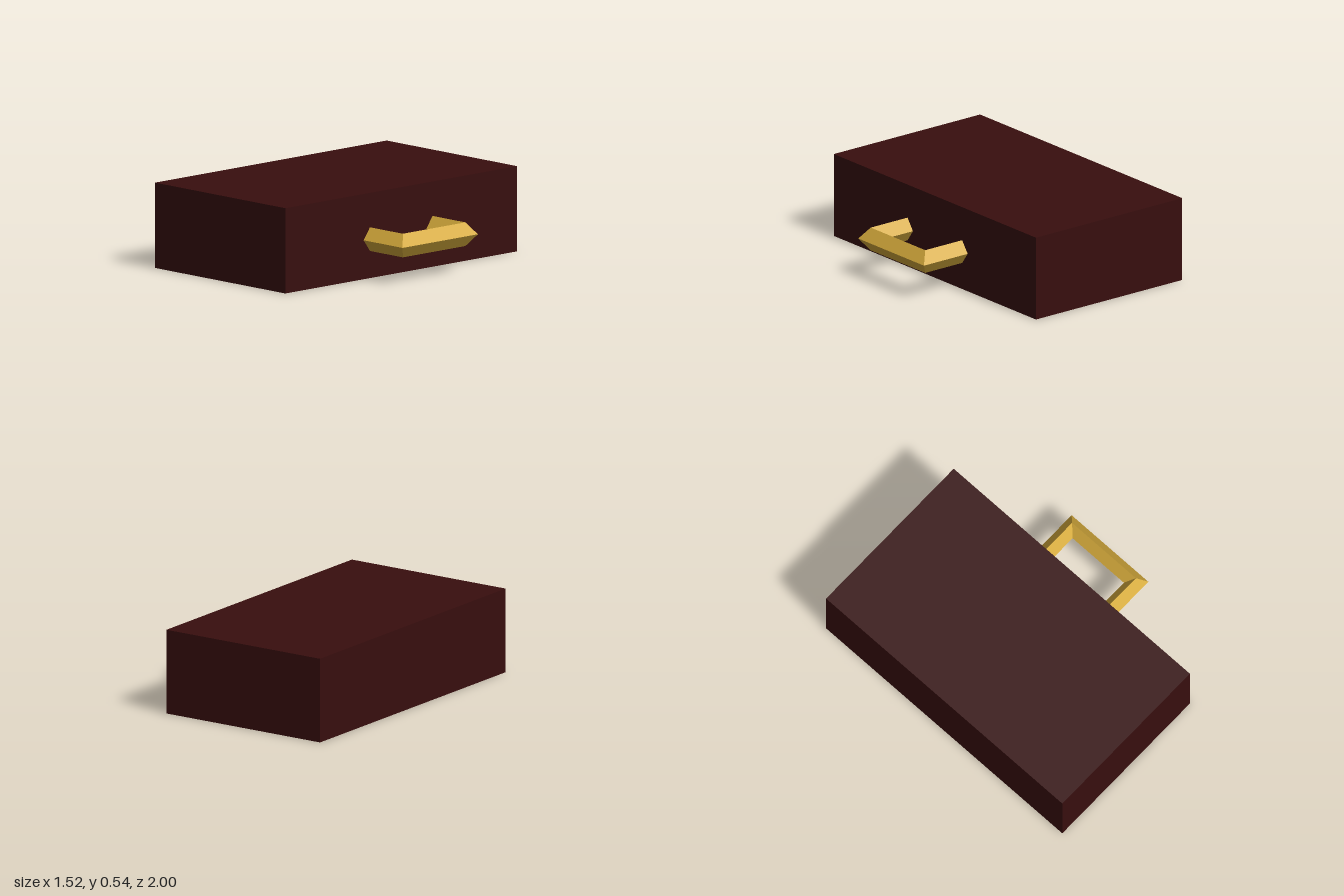
import * as THREE from 'three';

const darkRed = new THREE.MeshStandardMaterial({ color: 0x380e0e });
darkRed.name = 'dark red';
const gold = new THREE.MeshStandardMaterial({ color: 0xd6ab3c });
gold.name = 'gold';

// Diamond-section bar swept along a square U with mitred corners
function handleGeometry() {
  const rootX = 0.4, barX = 0.705, legZ = 0.27;
  const section = [[0.055, 0], [0, 0.075], [-0.053, 0], [0, -0.075]]; // outward, up
  const stations = [[false, 1], [true, 1], [true, -1], [false, -1]]; // at corner, side
  const point = (s, k) => {
    const [corner, side] = stations[s];
    const [out, up] = section[k % 4];
    return [corner ? barX + out : rootX, up, side * (legZ + out)];
  };
  const positions = [];
  for (let s = 0; s < 3; s++) {
    for (let k = 0; k < 4; k++) {
      const a = point(s, k), b = point(s + 1, k);
      const c = point(s + 1, k + 1), d = point(s, k + 1);
      positions.push(...a, ...b, ...c, ...a, ...c, ...d);
    }
  }
  const geometry = new THREE.BufferGeometry();
  geometry.setAttribute('position', new THREE.Float32BufferAttribute(positions, 3));
  geometry.computeVertexNormals(); // unshared corners give flat facets
  return geometry;
}

export function createModel() {
  const model = new THREE.Group();
  model.name = 'drawer';

  // Solid block
  const body = new THREE.Mesh(new THREE.BoxGeometry(1.17, 0.54, 2), darkRed);
  body.name = 'body';
  body.position.set(-0.175, 0.27, 0);
  model.add(body);

  // Pull handle on the left side
  const handle = new THREE.Mesh(handleGeometry(), gold);
  handle.name = 'handle';
  handle.position.y = 0.247;
  model.add(handle);

  return model;
}
